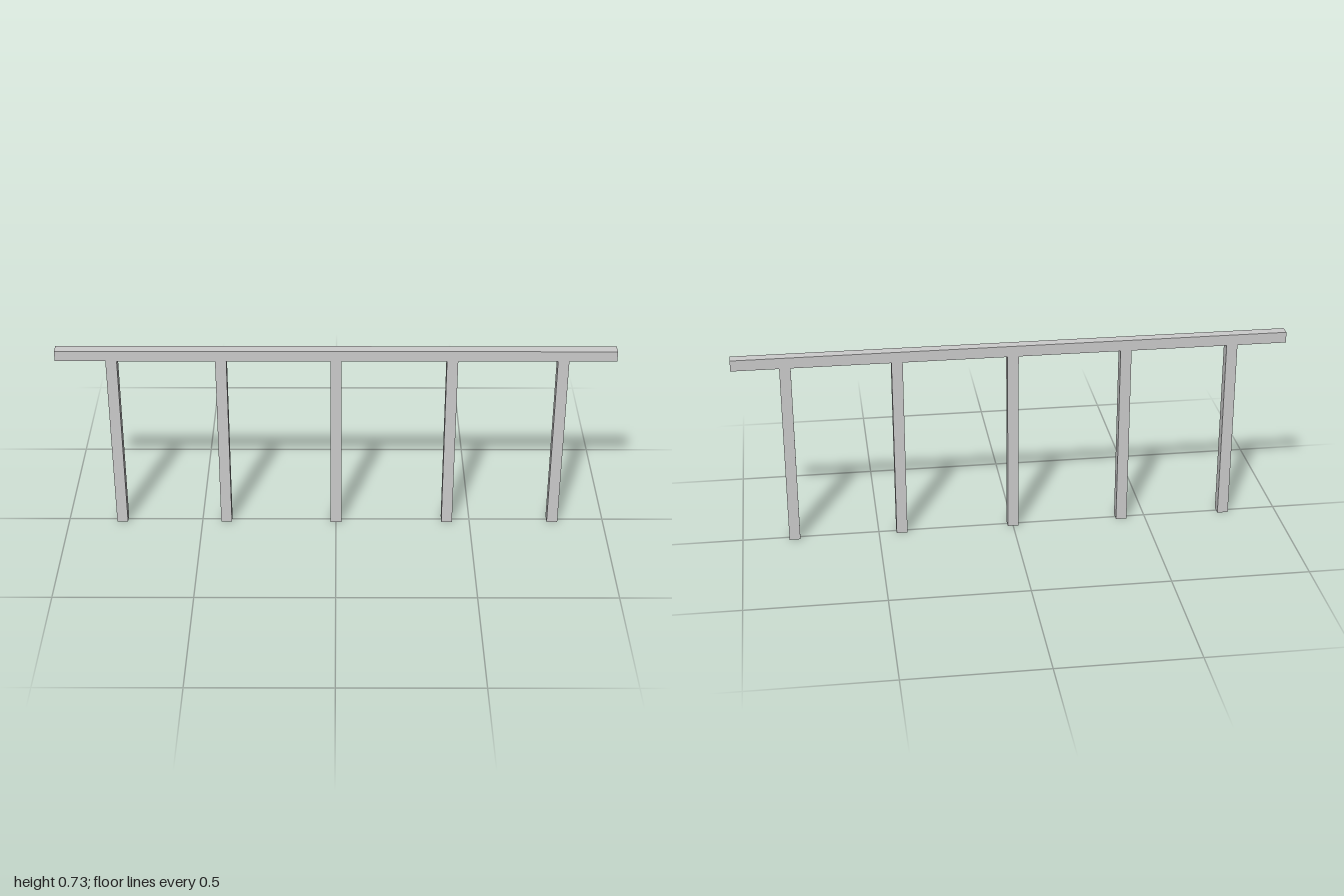
import * as THREE from 'three';

export function createModel() {
  const model = new THREE.Group();
  model.name = 'railing';
  const material = new THREE.MeshStandardMaterial({ color: 0xcccccc, flatShading: true });
  const thickness = 0.04, height = 0.725;
  const postHeight = height - thickness;

  // Handrail along the full length
  const rail = new THREE.Mesh(new THREE.BoxGeometry(2, thickness, thickness), material);
  rail.name = 'handrail';
  rail.position.y = height - thickness / 2;
  model.add(rail);

  // Square posts standing under the rail
  const postGeometry = new THREE.BoxGeometry(thickness, postHeight, thickness);
  [-0.8, -0.41, 0, 0.415, 0.81].forEach((x, i) => {
    const post = new THREE.Mesh(postGeometry, material);
    post.name = `post${i + 1}`;
    post.position.set(x, postHeight / 2, 0);
    model.add(post);
  });

  return model;
}
